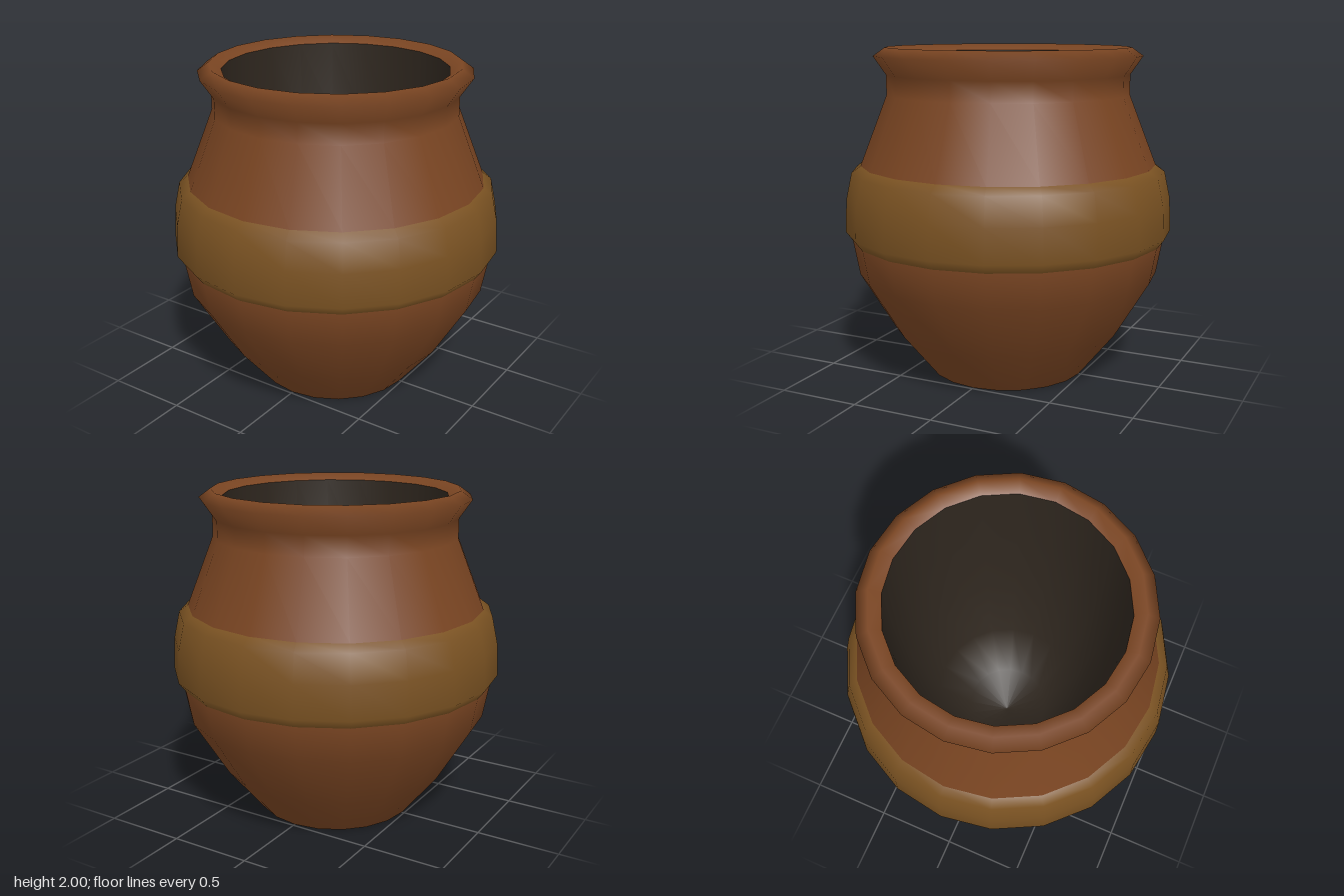
import * as THREE from 'three';

const SIDES = 20;

// Turns a profile of [radius, height] pairs around the y axis.
function turned(name, profile, color) {
  const points = profile.map(([r, y]) => new THREE.Vector2(r, y));
  const material = new THREE.MeshStandardMaterial({ color });
  const mesh = new THREE.Mesh(new THREE.LatheGeometry(points, SIDES), material);
  mesh.name = name;
  return mesh;
}

export function createModel() {
  const pot = new THREE.Group();
  pot.name = 'clayPot';
  const clay = 0x7a4522, ochre = 0x7a5222, soot = 0x2e261e;

  // Outer wall with neck and flared rim, rolling over to the inner lip
  pot.add(turned('body', [
    [0.485, 0], [0.71, 0.28], [0.92, 0.63], [0.96, 0.85], [0.95, 1.12], [0.9, 1.3],
    [0.735, 1.72], [0.735, 1.84], [0.81, 1.95], [0.74, 2], [0.67, 1.96],
  ], clay));

  // Raised belt around the belly
  pot.add(turned('bellyBand', [
    [0.955, 0.84], [1, 0.9], [0.99, 1.1], [0.955, 1.26], [0.9, 1.3],
  ], ochre));

  // Dark hollow, from the lip down to the floor
  pot.add(turned('interior', [
    [0.67, 1.96], [0.65, 1.5], [0.59, 1], [0.46, 0.5], [0.26, 0.22], [0, 0.14],
  ], soot));

  // Flat underside
  const base = new THREE.Mesh(
    new THREE.CircleGeometry(0.485, SIDES).rotateX(Math.PI / 2),
    new THREE.MeshStandardMaterial({ color: clay }),
  );
  base.name = 'base';
  pot.add(base);

  return pot;
}
